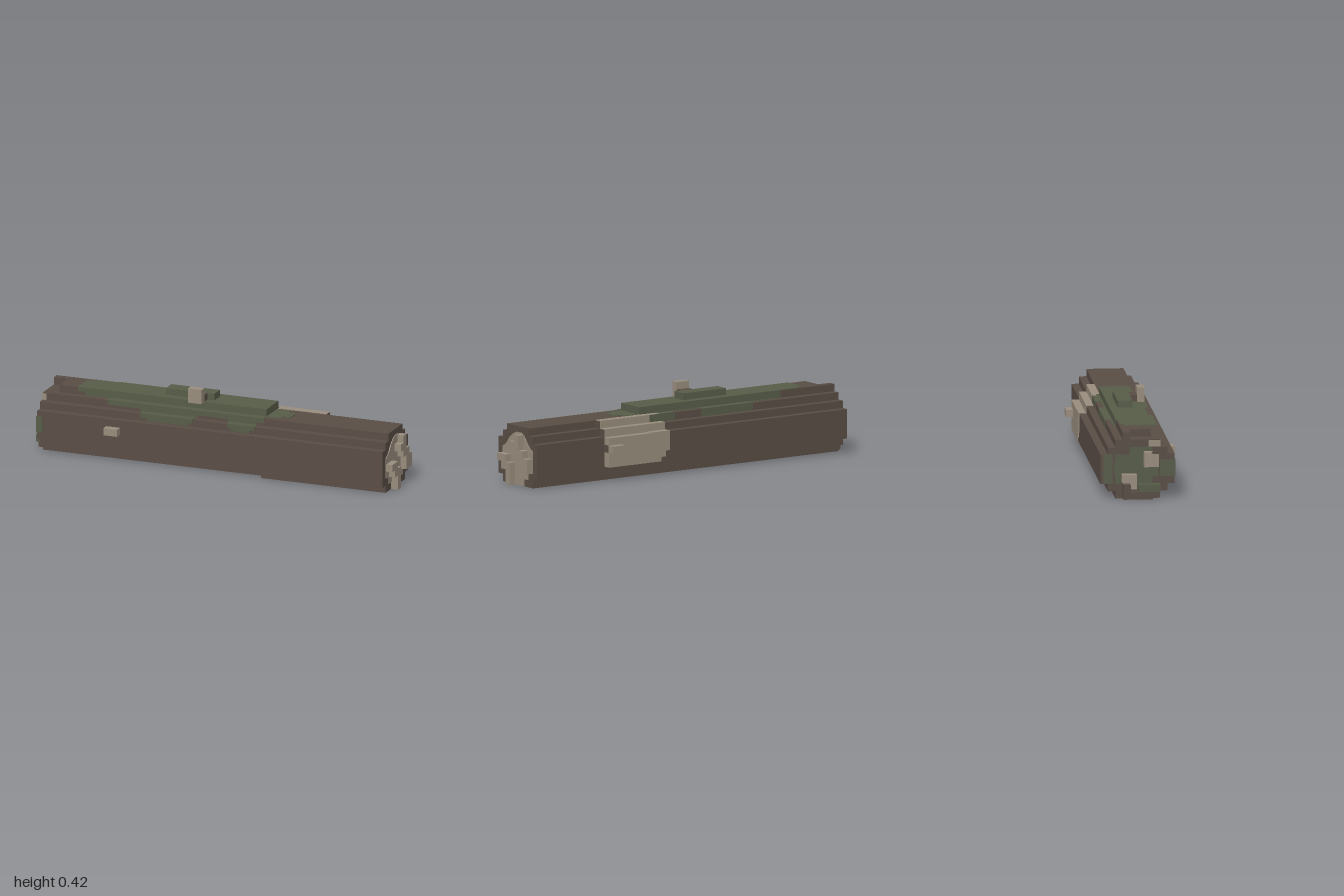
import * as THREE from 'three';

const U = 2 / 52; // size of one block

export function createModel() {
  const log = new THREE.Group();
  log.name = 'fallenLog';
  const bark = new THREE.MeshStandardMaterial({ name: 'bark brown', color: 0x594d45 });
  const wood = new THREE.MeshStandardMaterial({ name: 'bare wood tan', color: 0x988c7c });
  const moss = new THREE.MeshStandardMaterial({ name: 'moss green', color: 0x575c48 });

  // box given by its limits
  const box = (name, mat, x0, x1, y0, y1, z0, z1) => {
    const m = new THREE.Mesh(new THREE.BoxGeometry(x1 - x0, y1 - y0, z1 - z0), mat);
    m.position.set((x0 + x1) / 2, (y0 + y1) / 2, (z0 + z1) / 2);
    m.name = name;
    log.add(m);
    return m;
  };
  // the same, with y and z counted in blocks
  const block = (name, mat, x0, x1, y0, y1, z0, z1) =>
    box(name, mat, x0, x1, y0 * U, y1 * U, z0 * U, z1 * U);

  // stepped outline from rows of [yTop, zBack, zFront] in blocks
  const outline = (rows) => {
    const front = [], back = [];
    let y = 0;
    for (const [top, zb, zf] of rows) {
      front.push([zf, y], [zf, top]);
      back.push([zb, y], [zb, top]);
      y = top;
    }
    return [...front, ...back.reverse()].map(([z, h]) => new THREE.Vector2(-z * U, h * U));
  };
  const prism = (name, mat, points, x0, x1, hole) => {
    const shape = new THREE.Shape(points);
    if (hole) shape.holes.push(new THREE.Path(hole));
    const g = new THREE.ExtrudeGeometry(shape, { depth: x1 - x0, bevelEnabled: false });
    g.rotateY(Math.PI / 2).translate(x0, 0, 0);
    const m = new THREE.Mesh(g, mat);
    m.name = name;
    log.add(m);
  };

  // trunk: thick length, thinner length, and a hollow rim at the broken end
  const thick = outline([[1, -3, 3], [2, -4, 4], [6, -5, 5], [7, -4, 4], [8, -3, 3]]);
  const thin = outline([[1, -3, 4], [6, -4, 5], [7, -3, 4], [8, -2, 3]]);
  const hollow = outline([[2, -2, 1], [3, -3, 2], [5, -4, 3], [6, -3, 3], [7, -1, 2]].map(
    ([y, b, f]) => [y, b, f])).map((p) => new THREE.Vector2(p.x, Math.max(p.y, U)));
  prism('thickTrunk', bark, thick, -0.885, 7 * U);
  prism('thinTrunk', bark, thin, 7 * U, 25 * U);
  prism('brokenRim', bark, thick, -25 * U, -0.885, hollow);

  // broken end: mossy floor and jagged pieces
  block('hollowFloor', moss, -0.887, -0.884, 1, 7, -3, 3);
  block('hollowSplinter', wood, -0.93, -0.885, 1, 3, -2, 0);
  block('hollowSplinter', wood, -0.925, -0.885, 4, 6, 1, 3);
  block('rimShard', bark, -1, -25 * U, 0, 2, -2, -1);
  block('rimShard', bark, -1, -25 * U, 0, 1, -1, 2);
  block('rimShardMoss', moss, -1, -25 * U, 1, 2, 0, 3);
  block('rimMoss', moss, -0.967, -0.93, 3, 5.2, 3, 5.08);
  block('rimMoss', moss, -0.965, -0.955, 2, 6, -4.6, -3.4);
  block('rimWood', wood, -0.965, -0.94, 7, 7.9, 1.5, 3.06);

  // ridge along the top
  block('topRidge', bark, -0.885, 7 * U, 8, 9, -2, 2);
  block('ridgeEnd', bark, -25 * U, -0.885, 8, 9, -2, -1);
  block('mossHump', moss, -8 * U, -U, 9, 10, -1, 1);
  block('twigBase', bark, -4 * U, -2 * U, 9, 10, 1, 2);
  block('topTwig', wood, -4 * U, -2 * U, 9, 11, 2, 3);

  // moss draped over the steps: [x0, x1, yLow, yHigh, zBack, zFront]
  const e = 0.08;
  [
    [-0.78, -0.74, 8.5, 9, -1.3, 2], [-0.74, -0.62, 8, 9, -1.8, 2],
    [-0.62, 0.27, 8, 9, -2, 2], [0.265, 0.35, 7.6, 8, -1.6, 2],
    [0.35, 0.39, 7.6, 8, -0.8, 1.2],
    [-0.6, -0.42, 7.4, 8, -2.2, 3], [-0.42, -0.1, 7, 8, -3, 3],
    [-0.1, 0.07, 7.4, 8, -2.2, 3], [0.07, 0.23, 7, 8, -3, 3],
    [0.23, 0.27, 7.4, 8, -2.4, 3],
    [-0.4, -0.37, 6.5, 7, 0, 4], [-0.37, -0.14, 6.1, 7, 0, 4],
    [-0.14, -0.11, 6.5, 7, 0, 4], [0.08, 0.1, 6.5, 7, 0, 4],
    [0.1, 0.21, 6.1, 7, 0, 4], [0.21, 0.235, 6.5, 7, 0, 4],
  ].forEach(([x0, x1, y0, y1, z0, z1]) =>
    block('mossPatch', moss, x0, x1, y0, y1 + e, z0 - e, z1 + e));

  // bare patch on the back, bulging past the thinner trunk
  block('barePatch', wood, 7 * U, 14 * U, 2, 6, -5 - e, -3);
  block('barePatch', wood, 0.16, 14 * U, 6, 7 + e, -4 - e, -2);
  block('barePatch', wood, 0.17, 14 * U, 7, 8 + e, -3 - e, -2);
  block('barePatchEdge', wood, 0.155, 7 * U, 3.4, 6 + e, -5 - e, -4);
  block('barePatchEdge', wood, 0.18, 7 * U, 2.6, 3.4, -5 - e, -4);
  block('barePatchEdge', wood, 0.21, 7 * U, 2, 2.6, -5 - e, -4);
  block('patchBarkEnd', bark, 14 * U, 14 * U + 0.003, 4, 5, -5, -4);
  block('patchBarkEnd', bark, 14 * U, 14 * U + 0.003, 6, 7, -4, -3);
  block('patchBarkEnd', bark, 14 * U, 14 * U + 0.003, 7, 8, -3, -2);

  // branch stubs
  block('frontStub', wood, -15 * U, -13 * U, 4, 5, 5, 6);
  block('backStub', wood, 12 * U, 14 * U, 4, 5, -6, -5);

  // cut end: heartwood plate and raised splinters
  const heart = [[2, 0], [-1, 0], [-1, 1], [-2, 1], [-2, 2], [-3, 2], [-3, 5], [-2.5, 5.2],
    [-2, 5.7], [-1.4, 6.4], [-0.9, 6.9], [-0.3, 7.2], [0.7, 7.2], [1.5, 6.9], [2.4, 6.2],
    [3, 5.4], [4, 4.8], [4, 2], [3, 2], [3, 1], [2, 1]];
  prism('heartwood', wood, heart.map(([z, y]) => new THREE.Vector2(-z * U, y * U)),
    25 * U, 25 * U + 0.004);
  [
    [6, 7, -1, 0], [5, 6, -1, 1], [4, 5, -2, 0], [2, 4, -3, -1],
    [3, 4, 2, 4], [2, 3, 1, 3], [1, 2, 1, 2], [0, 1, 1, 2],
  ].forEach((r) => block('endSplinter', wood, 25 * U, 1, ...r));

  return log;
}
